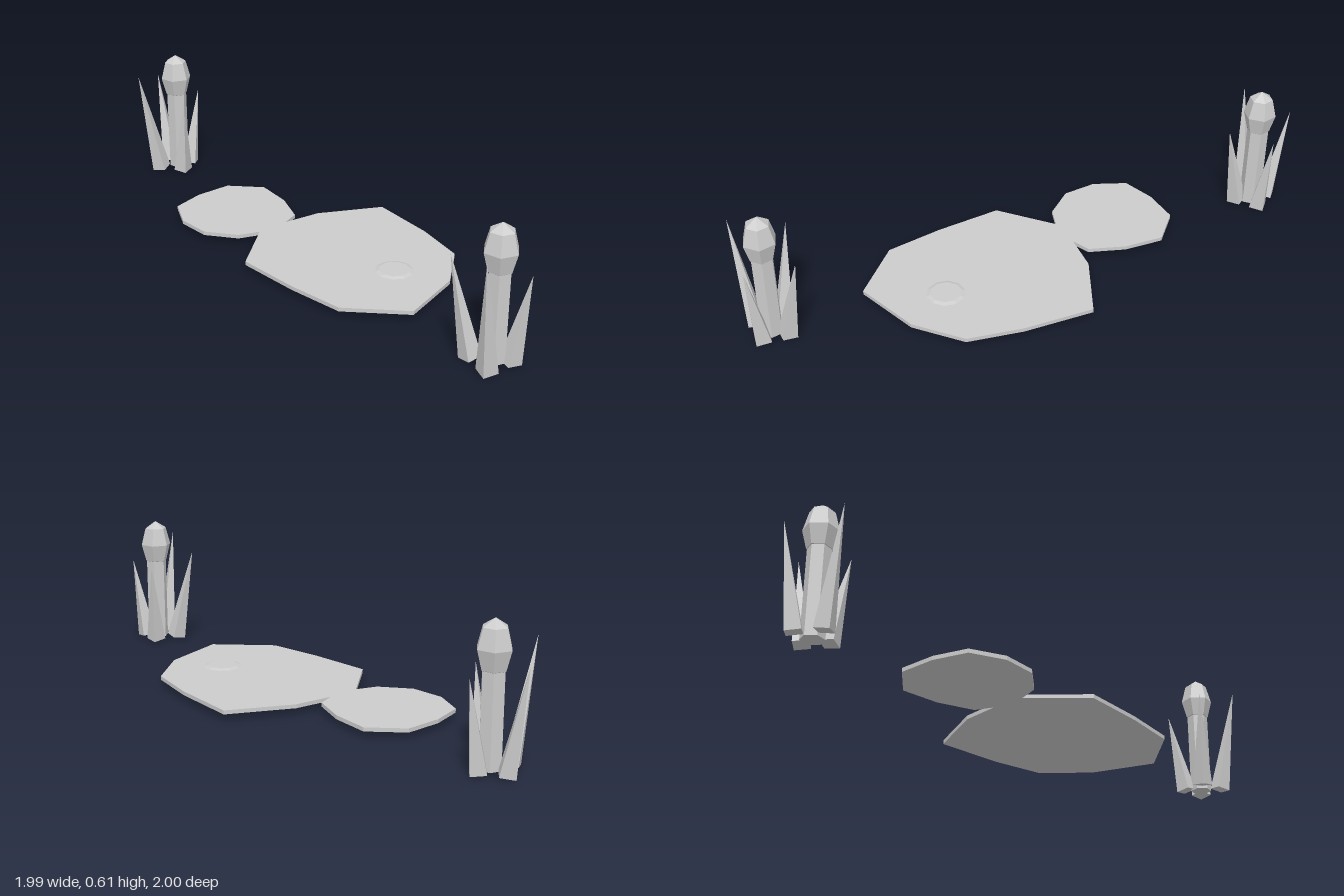
import * as THREE from 'three';

const grey = new THREE.MeshStandardMaterial({ color: 0xcccccc, flatShading: true });
grey.name = 'paleGrey';

function part(name, geometry, x = 0, y = 0, z = 0) {
  const mesh = new THREE.Mesh(geometry, grey);
  mesh.name = name;
  mesh.position.set(x, y, z);
  return mesh;
}

// Flat pad from an outline of [x, z] points
function pad(name, outline) {
  const shape = new THREE.Shape(outline.map(([x, z]) => new THREE.Vector2(x, z)));
  const geo = new THREE.ExtrudeGeometry(shape, { depth: 0.018, bevelEnabled: false });
  geo.rotateX(Math.PI / 2);
  return part(name, geo, 0, 0.045, 0);
}

// Four-sided spike rising from halfway out towards its tip
function leaf([dx, tipY, dz]) {
  const reach = Math.hypot(dx, dz);
  const rise = tipY - 0.01;
  const length = Math.hypot(rise, reach / 2);
  const geo = new THREE.ConeGeometry(0.047, length, 4);
  geo.translate(0, length / 2, 0);
  const mesh = part('leaf', geo, dx / 2, 0.01, dz / 2);
  mesh.rotation.order = 'YXZ';
  mesh.rotation.y = Math.atan2(dx, dz);
  mesh.rotation.x = Math.atan2(reach / 2, rise);
  return mesh;
}

// Reed: stem, bud and four leaves given by tip offsets
function reed(name, x, z, tips) {
  const group = new THREE.Group();
  group.name = name;
  group.position.set(x, 0, z);
  group.add(part('stem', new THREE.CylinderGeometry(0.05, 0.05, 0.4, 6), 0, 0.21, 0));
  const bud = new THREE.SphereGeometry(0.075, 6, 4);
  bud.rotateY(Math.PI / 2);
  bud.scale(1, 1.57, 1);
  group.add(part('bud', bud, 0, 0.49, 0));
  tips.forEach((tip) => group.add(leaf(tip)));
  return group;
}

export function createModel() {
  const model = new THREE.Group();
  model.name = 'pondPlants';

  // Lily pads meeting along a short neck
  model.add(pad('largePad', [
    [-0.145, -0.2], [-0.01, -0.32], [0.285, -0.44], [0.51, -0.205], [0.66, 0], [0.655, 0.257],
    [0.525, 0.547], [0.215, 0.567], [-0.01, 0.415], [-0.25, 0.223], [-0.245, -0.08],
  ]));
  model.add(pad('smallPad', [
    [-0.145, -0.2], [-0.245, -0.08], [-0.335, -0.03], [-0.5, -0.04], [-0.625, -0.14], [-0.69, -0.29],
    [-0.62, -0.435], [-0.505, -0.565], [-0.32, -0.575], [-0.195, -0.44], [-0.115, -0.285],
  ]));
  // Slight swelling on the large pad
  model.add(part('padRise', new THREE.CylinderGeometry(0.07, 0.1, 0.01, 10), 0.41, 0.046, 0.2));

  // Reeds at opposite corners
  model.add(reed('backReed', -0.83, -0.878, [
    [-0.165, 0.52, 0.112], [-0.13, 0.457, -0.122], [0.09, 0.4, -0.095], [0.067, 0.4, 0.118],
  ]));
  model.add(reed('frontReed', 0.864, 0.814, [
    [-0.048, 0.52, 0.181], [-0.19, 0.457, -0.01], [-0.01, 0.4, -0.149], [0.126, 0.4, 0.016],
  ]));
  return model;
}
